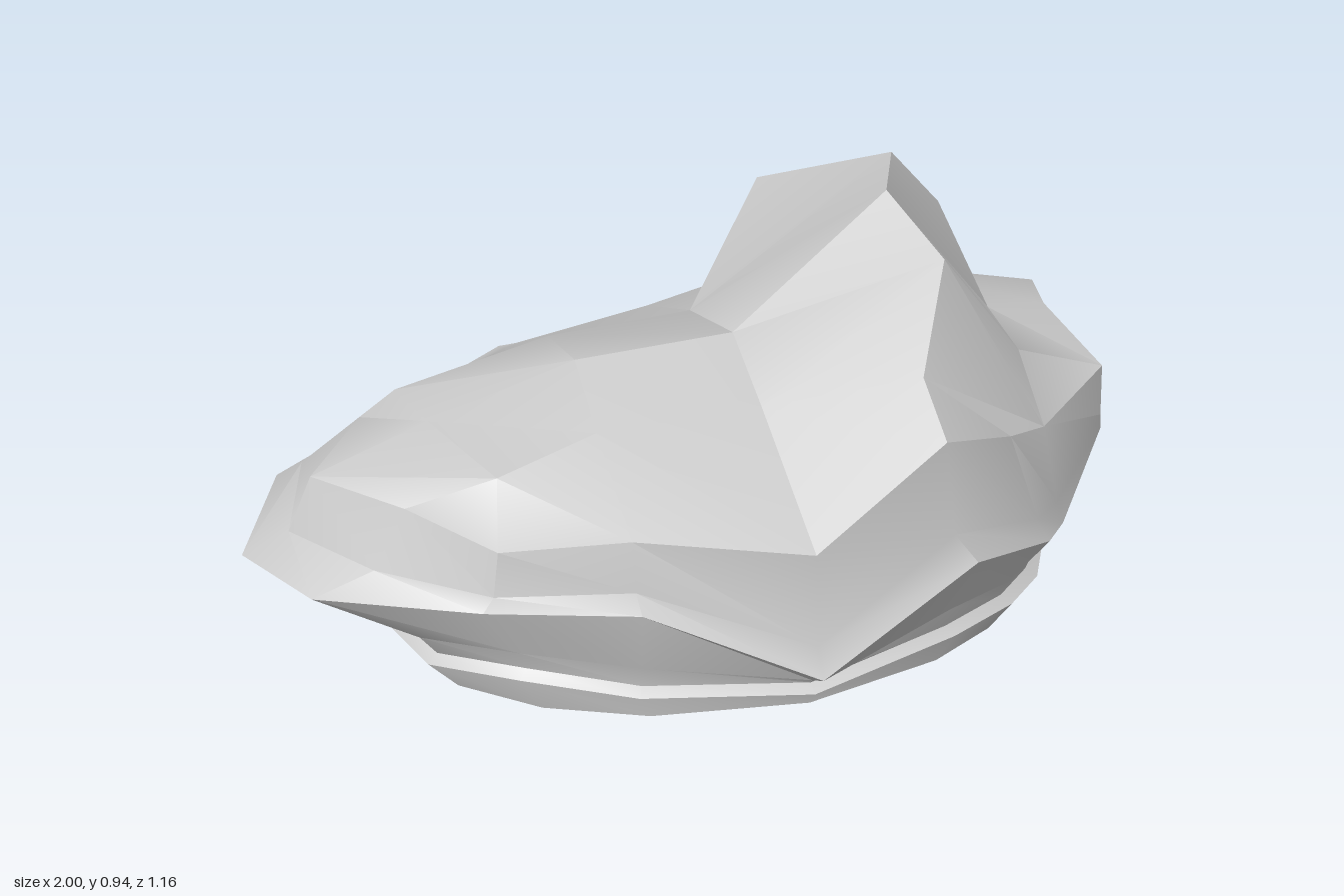
import * as THREE from 'three';
import { toCreasedNormals } from 'three/addons/utils/BufferGeometryUtils.js';

// Every ring has 18 columns, running from +x over the front (+z) to -x and round the back.
const N = 18;

// Widest ridge round the boulder
const ridge = [
  [1, 0.34, 0], [0.92, 0.34, 0.2], [0.75, 0.24, 0.375], [0.68, 0.26, 0.45], [0.46, 0.33, 0.55],
  [0.1, 0.13, 0.578], [-0.27, 0.33, 0.48], [-0.58, 0.34, 0.37], [-0.9, 0.34, 0.2],
  [-1, 0.34, 0], [-0.86, 0.34, -0.26], [-0.58, 0.34, -0.41], [-0.25, 0.345, -0.58],
  [0.1, 0.34, -0.56], [0.4, 0.34, -0.545], [0.68, 0.29, -0.42], [0.77, 0.24, -0.34], [0.95, 0.34, -0.19],
];

// Upper rim, where the sides turn into the top
const rim = [
  [0.86, 0.565, 0], [0.91, 0.51, 0.2], [0.7, 0.49, 0.345], [0.58, 0.545, 0.425], [0.39, 0.63, 0.51],
  [0.1, 0.42, 0.52], [-0.27, 0.48, 0.42], [-0.54, 0.48, 0.36], [-0.69, 0.52, 0.2],
  [-0.84, 0.505, 0], [-0.68, 0.49, -0.2], [-0.52, 0.42, -0.35], [-0.25, 0.37, -0.53],
  [0.1, 0.41, -0.53], [0.36, 0.46, -0.52], [0.58, 0.48, -0.42], [0.7, 0.5, -0.33], [0.92, 0.51, -0.18],
];

// Foot ledge outline
const ledge = [
  [0.84, 0.09, 0], [0.8, 0.09, 0.2], [0.71, 0.085, 0.35], [0.61, 0.092, 0.43], [0.44, 0.1, 0.5],
  [0.1, 0.06, 0.535], [-0.27, 0.095, 0.46], [-0.5, 0.125, 0.35], [-0.66, 0.1, 0.2],
  [-0.71, 0.095, 0], [-0.63, 0.1, -0.2], [-0.46, 0.125, -0.3], [-0.25, 0.14, -0.38],
  [0.1, 0.13, -0.38], [0.42, 0.12, -0.38], [0.59, 0.1, -0.36], [0.68, 0.09, -0.31], [0.8, 0.095, -0.2],
];

// Inner points of the top: rows at z = 0.2, 0 and -0.2, ending in the peak and its foot
const inner = [
  [[-0.51, 0.6, 0.27], [-0.27, 0.61, 0.2], [0.1, 0.59, 0.2], [0.51, 0.87, 0.2], [0.7, 0.6, 0.2]],
  [[-0.58, 0.585, 0], [-0.25, 0.665, 0], [0.11, 0.655, 0], [0.46, 0.94, 0], [0.71, 0.6, 0.02]],
  [[-0.6, 0.55, -0.19], [-0.25, 0.61, -0.19], [0.1, 0.57, -0.24], [0.55, 0.92, -0.18], [0.65, 0.58, -0.18]],
];

function createRockGeometry() {
  const pos = [];
  const face = (...corners) => {
    const p = corners.filter(Boolean);
    for (let i = 1; i + 1 < p.length; i++) pos.push(...p[0], ...p[i], ...p[i + 1]);
  };
  const mix = (a, b, plan, height) => a.map((v, k) => v + (b[k] - v) * (k === 1 ? height : plan));

  // Sides: underside edge, foot, ledge, groove, wall, ridge, tuck above the ridge, rim
  const underside = ledge.map(([x, , z]) => [0.04 + x * 0.76, 0.01, 0.03 + z * 0.55]);
  const foot = ledge.map(([x, y, z]) => [x * 0.91, 0.025 + y * 0.15, z * 0.92 + 0.035]);
  const groove = ledge.map(([x, y, z]) => [x * 0.965, y + 0.02, z * 0.965]);
  const wall = groove.map((p, i) => mix(p, ridge[i], 0.14, 0.24));
  const tuck = ridge.map((p, i) => mix(p, rim[i], i > 3 && i < 10 ? 0.65 : 0.3, 0.22));
  const rings = [underside, foot, ledge, groove, wall, ridge, tuck, rim];
  for (let r = 0; r + 1 < rings.length; r++) {
    for (let i = 0; i < N; i++) {
      const j = (i + 1) % N;
      face(rings[r][i], rings[r + 1][i], rings[r + 1][j], rings[r][j]);
    }
  }
  for (let i = 0; i < N; i++) face([0.1, 0, 0], underside[i], underside[(i + 1) % N]);

  // Top: a grid bounded by the rim, its corners cut off; the cells round the peak follow below
  const grid = [
    [null, rim[7], rim[6], rim[5]],
    [rim[8], ...inner[0], rim[1]],
    [rim[9], ...inner[1], rim[0]],
    [rim[10], ...inner[2], rim[17]],
    [null, rim[11], rim[12], rim[13]],
  ];
  for (let r = 0; r < 4; r++) {
    const cells = r === 0 || r === 3 ? 3 : 6;
    for (let c = 0; c < cells; c++) {
      if (r === 2 && c === 4) continue;
      face(grid[r + 1][c], grid[r][c], grid[r][c + 1], grid[r + 1][c + 1]);
    }
  }

  // Front shoulder of the peak
  const [, , frontSaddle, frontPeak, frontBase] = inner[0];
  const frontShoulder = [0.39, 0.71, 0.38];
  face(frontSaddle, rim[5], rim[4], frontShoulder, frontPeak);
  face(rim[2], frontBase, frontPeak, frontShoulder, rim[3]);
  face(rim[3], frontShoulder, rim[4]);
  face(frontBase, rim[2], rim[1]);

  // Back shoulder of the peak, with a steep outer wall
  const [, , midSaddle, midPeak, midBase] = inner[1];
  const [, , saddle, peak, base] = inner[2];
  const shoulder = [0.36, 0.72, -0.5], knob = [0.67, 0.77, -0.18], lobe = [0.69, 0.62, -0.33];
  face(knob, peak, midPeak, midBase, base);
  face(saddle, rim[14], rim[13]);
  face(saddle, shoulder, rim[14]);
  face(saddle, peak, shoulder);
  face(shoulder, peak, knob);
  face(knob, base, lobe);
  face(shoulder, knob, lobe);
  face(lobe, base, rim[16]);
  face(shoulder, lobe, rim[16], rim[15]);
  face(rim[14], shoulder, rim[15]);
  face(base, rim[17], rim[16]);

  const geometry = new THREE.BufferGeometry();
  geometry.setAttribute('position', new THREE.Float32BufferAttribute(pos, 3));
  return toCreasedNormals(geometry, 0.55);
}

export function createModel() {
  const model = new THREE.Group();
  model.name = 'rock';
  const boulder = new THREE.Mesh(createRockGeometry(), new THREE.MeshStandardMaterial({ color: 0xcccccc }));
  boulder.name = 'boulder';
  model.add(boulder);
  return model;
}
